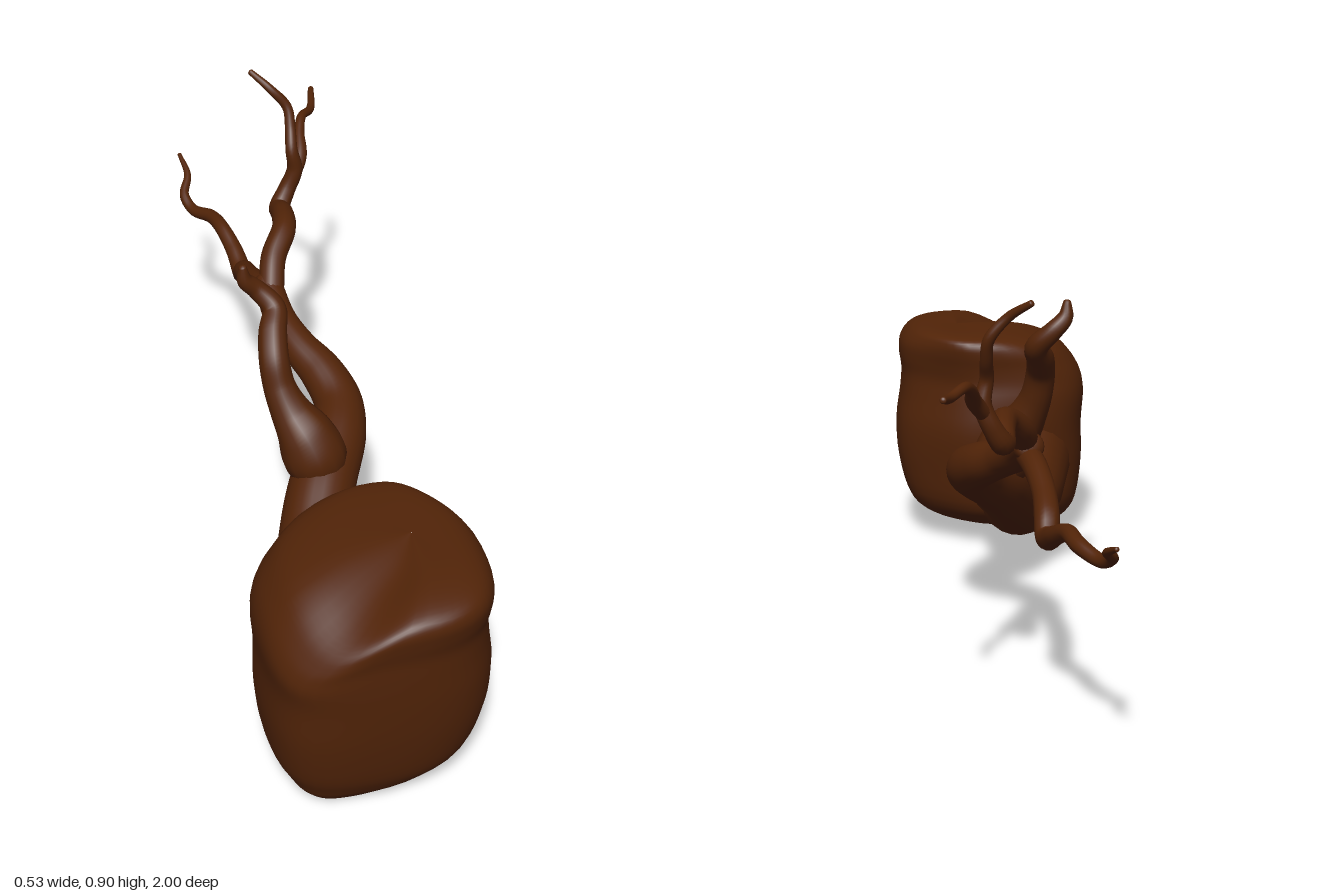
import * as THREE from 'three';

const bark = new THREE.MeshStandardMaterial({ color: 0x522408 });

// Skin a stack of closed rings; first and last rings shrink to a point
function loft(name, rings) {
  const n = rings[0].length;
  const index = [];
  for (let i = 0; i < rings.length - 1; i++) {
    for (let j = 0; j < n; j++) {
      const k = (j + 1) % n;
      const a = i * n + j, b = i * n + k, c = a + n, d = b + n;
      index.push(a, c, b, b, c, d);
    }
  }
  const geo = new THREE.BufferGeometry().setFromPoints(rings.flat());
  geo.setIndex(index);
  geo.computeVertexNormals();
  const mesh = new THREE.Mesh(geo, bark);
  mesh.name = name;
  return mesh;
}

// Tapered branch through points [x, y, z, radius] with a rounded tip
function branch(name, pts, sides = 14) {
  const path = new THREE.CatmullRomCurve3(pts.map(p => new THREE.Vector3(p[0], p[1], p[2])));
  const radii = new THREE.CatmullRomCurve3(pts.map(p => new THREE.Vector3(p[3], 0, 0)), false, 'catmullrom');
  const steps = pts.length * 7;
  const { tangents, normals, binormals } = path.computeFrenetFrames(steps);
  const rings = [];
  const addRing = (i, r, push) => {
    const centre = path.getPointAt(i / steps).addScaledVector(tangents[i], push);
    rings.push(Array.from({ length: sides }, (_, j) => {
      const a = (j / sides) * Math.PI * 2;
      return centre.clone()
        .addScaledVector(normals[i], Math.cos(a) * r)
        .addScaledVector(binormals[i], -Math.sin(a) * r);
    }));
  };
  addRing(0, 0.0001, 0);
  for (let i = 0; i <= steps; i++) {
    addRing(i, radii.getPoint(path.getUtoTmapping(i / steps)).x, 0);
  }
  const tip = pts[pts.length - 1][3];
  for (const a of [0.5, 1.0, 1.565]) addRing(steps, tip * Math.cos(a), tip * 0.6 * Math.sin(a));
  return loft(name, rings);
}

// Lumpy bowl: rows of [y, xMin, xMax, zMin, zMax] from the base to the closed top
function bowl() {
  const rows = [
    [0.0, -0.121, -0.119, 0.839, 0.841],
    [0.006, -0.165, -0.04, 0.77, 0.885],
    [0.025, -0.2, 0.05, 0.70, 0.905],
    [0.05, -0.222, 0.12, 0.62, 0.922],
    [0.1, -0.246, 0.18, 0.565, 0.945],
    [0.2, -0.26, 0.21, 0.55, 0.967],
    [0.3, -0.259, 0.215, 0.538, 0.98],
    [0.38, -0.265, 0.204, 0.54, 0.986],
    [0.43, -0.256, 0.2, 0.546, 0.988],
    [0.47, -0.232, 0.205, 0.545, 0.995],
    [0.505, -0.197, 0.203, 0.54, 0.998],
    [0.53, -0.145, 0.188, 0.542, 0.982],
    [0.546, -0.08, 0.165, 0.56, 0.93],
    [0.553, 0.0, 0.13, 0.62, 0.85],
    [0.552, 0.06, 0.062, 0.739, 0.741],
  ];
  const xs = new THREE.CatmullRomCurve3(rows.map(r => new THREE.Vector3(r[1], r[0], r[2])), false, 'catmullrom');
  const zs = new THREE.CatmullRomCurve3(rows.map(r => new THREE.Vector3(r[3], r[0], r[4])), false, 'catmullrom');
  const round = v => Math.sign(v) * Math.pow(Math.abs(v), 0.88);
  const rings = [];
  const steps = 56, sides = 48;
  for (let i = 0; i <= steps; i++) {
    const x = xs.getPoint(i / steps), z = zs.getPoint(i / steps);
    const size = (x.z - x.x) / 0.47;
    const high = THREE.MathUtils.smoothstep(x.y, 0.28, 0.5);
    rings.push(Array.from({ length: sides }, (_, j) => {
      const a = (j / sides) * Math.PI * 2;
      const c = Math.cos(a), s = Math.sin(a);
      // Push the four corners in or out, and sag the rim at the front -x corner
      const corner = size * Math.sin(2 * a) ** 2;
      const skew = c * s < 0 ? 0.014 * corner : 0;
      const swell = c * s > 0 ? 0.007 * corner : 0;
      const sag = c < 0 && s > 0 ? 0.06 * corner * high : 0;
      return new THREE.Vector3(
        (x.x + x.z) / 2 + round(c) * (x.z - x.x) / 2 - skew + swell * Math.sign(c),
        x.y - sag,
        (z.x + z.z) / 2 + round(s) * (z.z - z.x) / 2 + skew + swell * Math.sign(s));
    }));
  }
  return loft('bowl', rings);
}

export function createModel() {
  const model = new THREE.Group();
  model.name = 'branchPipe';
  model.add(bowl());

  // Main stem, flared where it leaves the bowl
  model.add(branch('stem', [
    [-0.06, 0.255, 0.72, 0.185], [-0.07, 0.2, 0.6, 0.142], [-0.07, 0.173, 0.52, 0.112],
    [-0.06, 0.165, 0.46, 0.095], [-0.05, 0.18, 0.4, 0.083], [-0.02, 0.23, 0.3, 0.079],
    [0.025, 0.29, 0.2, 0.075], [0.085, 0.34, 0.1, 0.065], [0.108, 0.37, 0.02, 0.056],
    [0.09, 0.405, -0.06, 0.05], [0.055, 0.435, -0.13, 0.042], [0.03, 0.465, -0.21, 0.037],
    [0.022, 0.51, -0.31, 0.033],
  ], 22));

  // Short crooked shoot on a swollen knot
  model.add(branch('shoot', [
    [0.03, 0.29, 0.19, 0.05], [0.012, 0.35, 0.182, 0.072], [-0.008, 0.405, 0.17, 0.065],
    [-0.035, 0.455, 0.145, 0.047], [-0.055, 0.51, 0.122, 0.037], [-0.062, 0.57, 0.1, 0.034],
    [-0.055, 0.615, 0.06, 0.032], [-0.042, 0.65, 0.02, 0.027], [-0.075, 0.69, -0.003, 0.022],
    [-0.103, 0.72, 0.0, 0.018], [-0.108, 0.755, 0.003, 0.009],
  ]));

  // Long lower twig
  model.add(branch('lowerTwig', [
    [0.025, 0.49, -0.27, 0.028], [0.015, 0.475, -0.36, 0.027], [0.01, 0.445, -0.45, 0.026],
    [0.015, 0.415, -0.52, 0.027], [0.02, 0.385, -0.56, 0.025], [0.015, 0.41, -0.63, 0.021],
    [0.0, 0.437, -0.7, 0.018], [-0.012, 0.432, -0.77, 0.017], [-0.045, 0.42, -0.835, 0.014],
    [-0.058, 0.44, -0.88, 0.012], [-0.038, 0.468, -0.93, 0.009], [-0.045, 0.495, -0.995, 0.005],
  ]));

  // Upper twig with its two forked tips
  model.add(branch('upperTwig', [
    [0.025, 0.5, -0.28, 0.03], [0.045, 0.555, -0.34, 0.03], [0.085, 0.592, -0.4, 0.029],
    [0.1, 0.592, -0.47, 0.027], [0.107, 0.578, -0.53, 0.025], [0.13, 0.615, -0.548, 0.021],
    [0.15, 0.665, -0.55, 0.019], [0.142, 0.72, -0.55, 0.015], [0.146, 0.765, -0.578, 0.013],
    [0.143, 0.81, -0.598, 0.012], [0.105, 0.857, -0.61, 0.01], [0.065, 0.89, -0.645, 0.007],
  ]));
  model.add(branch('forkedTip', [
    [0.146, 0.645, -0.55, 0.017], [0.172, 0.682, -0.585, 0.017], [0.183, 0.715, -0.635, 0.013],
    [0.2, 0.735, -0.68, 0.011], [0.235, 0.727, -0.73, 0.01], [0.256, 0.742, -0.805, 0.007],
  ]));
  return model;
}
